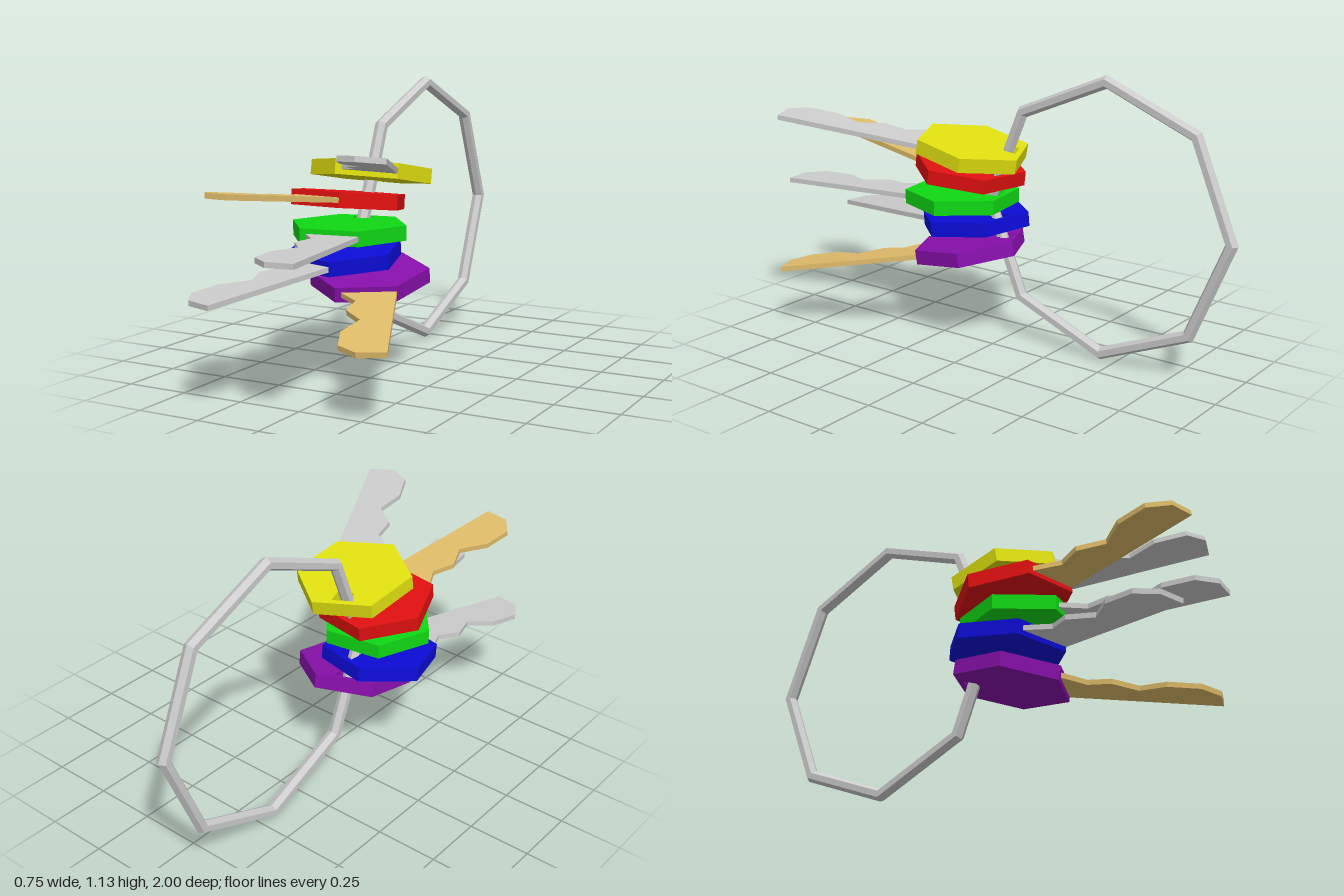
import * as THREE from 'three';

const HEAD_R = 0.232, HEAD_T = 0.058, BLADE_T = 0.02;
const GREY = 0xcccccc, BRASS = 0xe0bc6a;

const material = (color) => new THREE.MeshStandardMaterial({ color, flatShading: true });

function mesh(name, geometry, color) {
  const m = new THREE.Mesh(geometry, material(color));
  m.name = name;
  return m;
}

// Flat plate lying in the xz plane, centred on y = 0; shape y becomes z
function plate(shape, thickness) {
  const g = new THREE.ExtrudeGeometry(shape, { depth: thickness, bevelEnabled: false });
  g.translate(0, 0, -thickness / 2);
  g.rotateX(Math.PI / 2);
  return g;
}

const toPoints = (list) => list.map(([x, y]) => new THREE.Vector2(x, y));

// Hexagonal grip with a slot for the ring near its rear edge
function headShape() {
  const corners = [];
  for (let i = 0; i < 6; i++) {
    const a = (i * Math.PI) / 3;
    corners.push([HEAD_R * Math.cos(a), HEAD_R * Math.sin(a)]);
  }
  const shape = new THREE.Shape(toPoints(corners));
  shape.holes.push(new THREE.Path(toPoints([
    [-0.032, -0.13], [0.032, -0.13], [0.043, -0.18], [-0.043, -0.18],
  ])));
  return shape;
}

// Blade with a straight back and a toothed edge
function bladeShape() {
  return new THREE.Shape(toPoints([
    [0.116, 0.19], [0.117, 0.78], [0.012, 0.777], [-0.054, 0.71], [-0.056, 0.585],
    [0.002, 0.48], [-0.056, 0.383], [-0.031, 0.29], [-0.1, 0.19],
  ]));
}

export function createModel() {
  const model = new THREE.Group();
  model.name = 'keyRing';

  // Octagonal ring standing upright
  const ring = mesh('ring', new THREE.TorusGeometry(0.537, 0.026, 6, 8), GREY);
  ring.rotation.y = Math.PI / 2;
  ring.position.set(-0.12, 0.563, -0.438);
  model.add(ring);

  // Keys fanned out: centre of grip, tilt, yaw and roll in degrees
  const keys = [
    { name: 'yellowKey', head: 0xe0e010, blade: GREY, at: [-0.055, 0.781, 0.14], tilt: -10.2, yaw: 24.4, roll: 0 },
    { name: 'redKey', head: 0xe01010, blade: BRASS, at: [-0.118, 0.677, 0.202], tilt: -7, yaw: -8.7, roll: 0 },
    { name: 'greenKey', head: 0x10d814, blade: GREY, at: [-0.102, 0.563, 0.23], tilt: 0, yaw: 9, roll: 0 },
    { name: 'blueKey', head: 0x0c0cd8, blade: GREY, at: [-0.146, 0.461, 0.195], tilt: 5.2, yaw: -13.4, roll: 0 },
    { name: 'purpleKey', head: 0x8810ac, blade: BRASS, at: [-0.055, 0.373, 0.153], tilt: 9.5, yaw: 25, roll: -2 },
  ];
  const headGeometry = plate(headShape(), HEAD_T);
  const bladeGeometry = plate(bladeShape(), BLADE_T);
  const rad = THREE.MathUtils.degToRad;
  for (const k of keys) {
    const key = new THREE.Group();
    key.name = k.name;
    key.add(mesh('keyHead', headGeometry, k.head), mesh('keyBlade', bladeGeometry, k.blade));
    key.position.set(...k.at);
    key.rotation.set(rad(k.tilt), rad(k.yaw), rad(k.roll));
    model.add(key);
  }
  return model;
}
